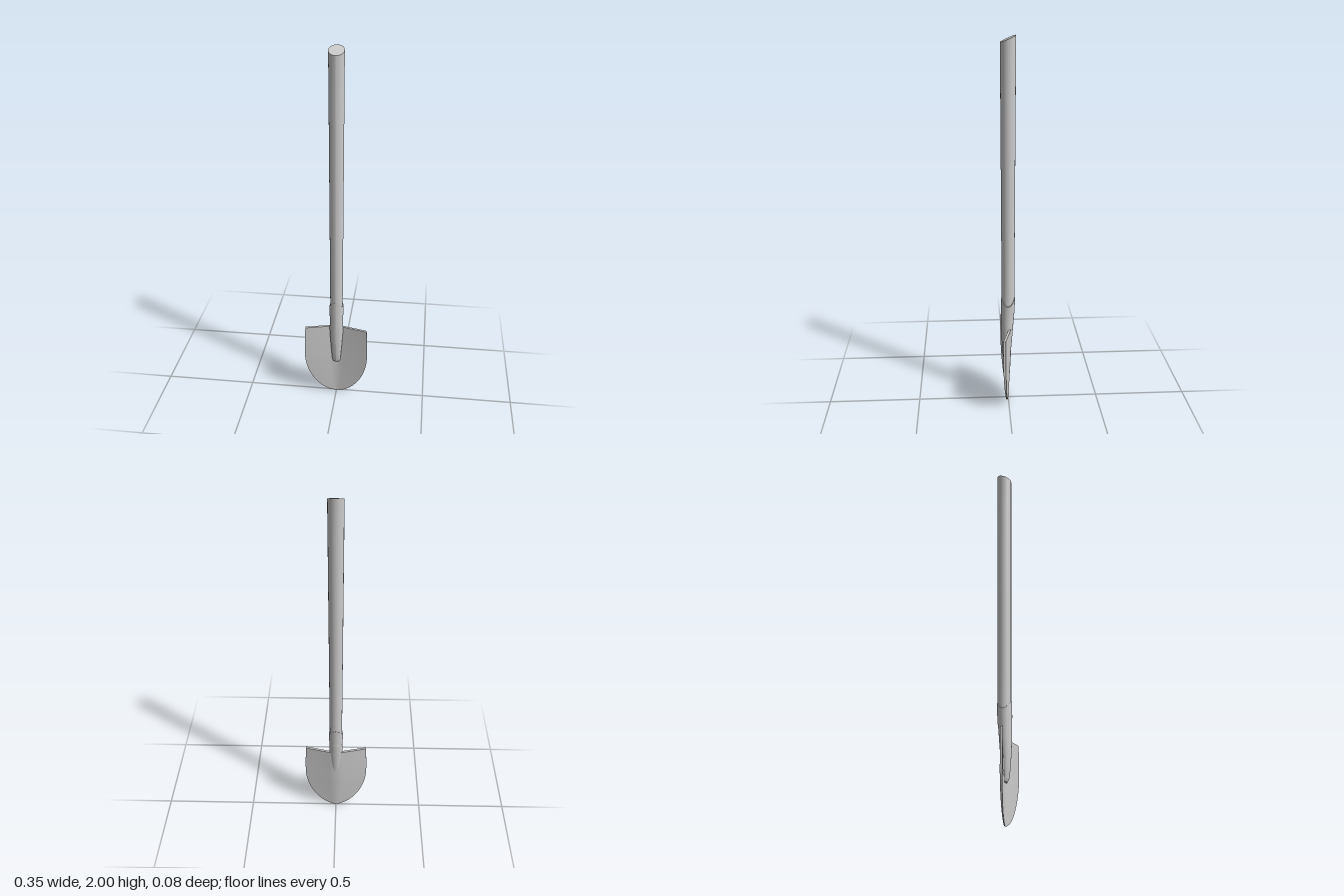
import * as THREE from 'three';

const material = new THREE.MeshStandardMaterial({ color: 0xcccccc, side: THREE.DoubleSide });

function addMesh(group, name, geometry) {
  geometry.computeVertexNormals();
  const mesh = new THREE.Mesh(geometry, material);
  mesh.name = name;
  group.add(mesh);
}

// Moves every vertex of a geometry by a rule.
function reshape(geometry, rule) {
  const pos = geometry.attributes.position;
  const v = new THREE.Vector3();
  for (let i = 0; i < pos.count; i++) {
    v.fromBufferAttribute(pos, i);
    rule(v);
    pos.setXYZ(i, v.x, v.y, v.z);
  }
  return geometry;
}

const lerp = THREE.MathUtils.lerp;

// Round shaft, slightly thinner at the bottom, cut at a slant on top.
function handleGeometry() {
  const low = 0.5, high = 1.983;
  const geometry = new THREE.CylinderGeometry(0.0395, 0.034, high - low, 20, 6);
  return reshape(geometry, (v) => {
    const top = v.y > (high - low) / 2 - 0.001;
    v.y += (high + low) / 2;
    if (top) v.y -= v.z * 0.43;
    v.z += 0.001;
  });
}

// Socket sections from top to bottom: height, half width, front z, back z.
const sections = [
  [0.595, 0.039, 0.040, -0.037],
  [0.54, 0.039, 0.040, -0.035],
  [0.48, 0.036, 0.039, -0.030],
  [0.43, 0.038, 0.038, -0.026],
  [0.36, 0.034, 0.036, -0.021],
  [0.28, 0.028, 0.031, -0.014],
  [0.225, 0.023, 0.024, -0.008],
  [0.208, 0.018, 0.014, -0.006],
];

function socketGeometry() {
  const rows = sections.length - 1;
  const geometry = new THREE.CylinderGeometry(1, 1, rows, 20, rows);
  return reshape(geometry, (v) => {
    const row = Math.round(rows / 2 - v.y);
    const [y, halfWidth, front, back] = sections[row];
    // The lip rises at the front and back and dips at the sides.
    const lip = row === 0 ? 0.022 * (v.z * v.z - v.x * v.x) : 0;
    v.set(v.x * halfWidth, y + lip, (front + back) / 2 + v.z * (front - back) / 2);
  });
}

// Thin folded blade with a flat top edge and a rounded tip.
function bladeGeometry() {
  const shoulder = 0.27, top = 0.437, widest = 0.177;
  const geometry = new THREE.BoxGeometry(2, 1, 1, 10, 24, 1);
  return reshape(geometry, (v) => {
    const t = v.y + 0.5;
    let y, width;
    if (t < 0.75) {
      const angle = (t / 0.75) * Math.PI / 2;
      y = shoulder * (1 - Math.cos(angle));
      width = Math.max(0.004, widest * Math.sin(angle) ** 1.1);
    } else {
      const s = (t - 0.75) / 0.25;
      y = lerp(shoulder, top, s);
      width = lerp(widest, 0.171, s * s);
    }
    const k = y / top;
    const x = v.x * width;
    const fold = lerp(0.002, -0.015, k);
    const slope = lerp(0.13, 0.25, k);
    const thickness = lerp(0.005, 0.013, Math.min(1, k * 2));
    v.set(x, y, fold + slope * Math.abs(x) + v.z * thickness);
  });
}

export function createModel() {
  const group = new THREE.Group();
  group.name = 'shovel';
  addMesh(group, 'handle', handleGeometry());
  addMesh(group, 'socket', socketGeometry());
  addMesh(group, 'blade', bladeGeometry());
  return group;
}
